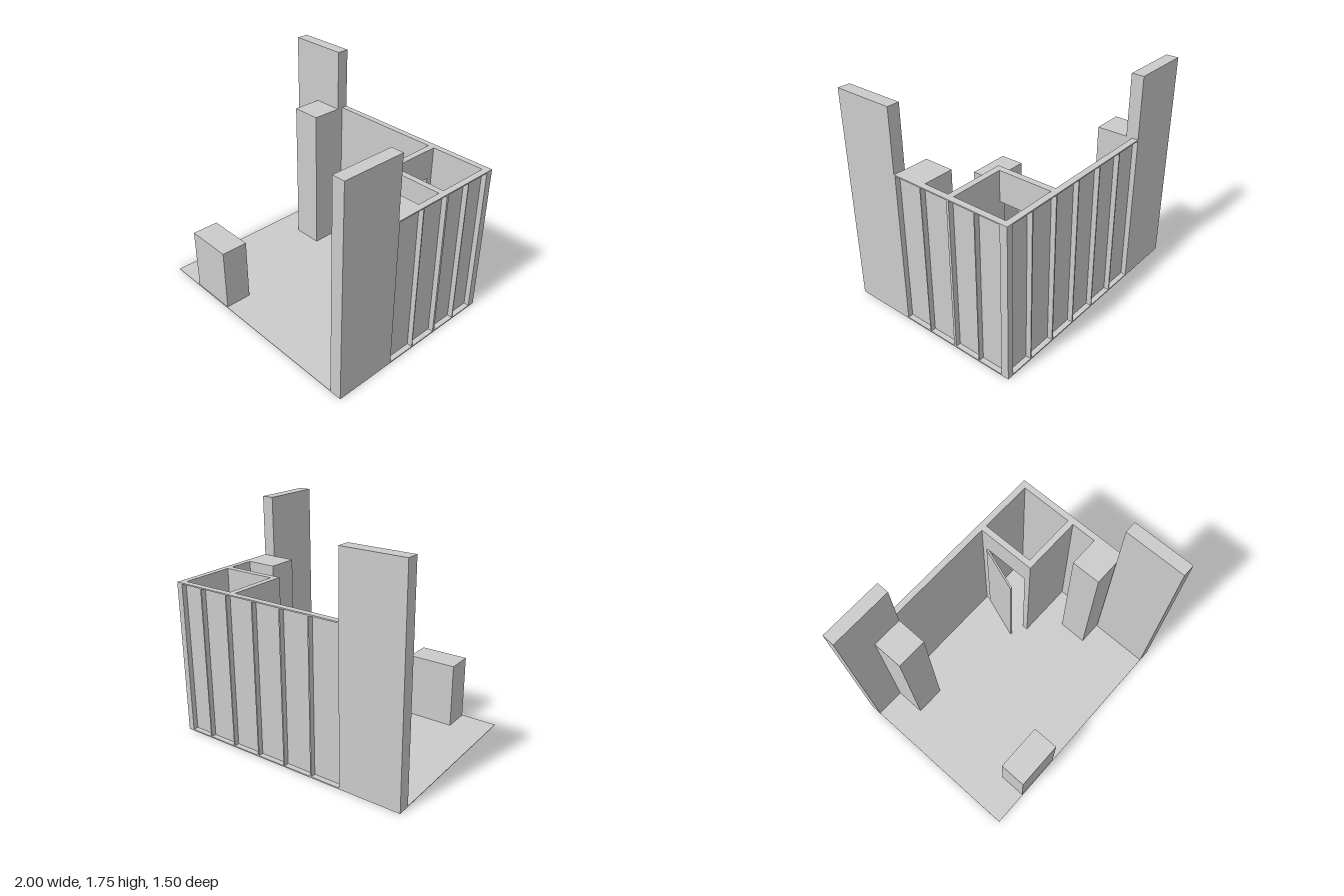
import * as THREE from 'three';

const material = new THREE.MeshStandardMaterial({ color: 0xcccccc });

// Box given by its limits on each axis
function block(name, [x0, x1], [y0, y1], [z0, z1]) {
  const mesh = new THREE.Mesh(new THREE.BoxGeometry(x1 - x0, y1 - y0, z1 - z0), material);
  mesh.name = name;
  mesh.position.set((x0 + x1) / 2, (y0 + y1) / 2, (z0 + z1) / 2);
  return mesh;
}

// Wall along x from 0: smooth sheet on the inner side (+z), ribs and rails behind it
function framedWall(name, length, height, ribs) {
  const wall = new THREE.Group();
  const depth = 0.05, sheet = 0.008, rail = 0.01;
  wall.name = name;
  wall.add(block('sheet', [0, length], [0, height], [depth - sheet, depth]));
  wall.add(block('bottomRail', [0, length], [0, rail], [0, depth - sheet]));
  wall.add(block('topRail', [0, length], [height - rail, height], [0, depth - sheet]));
  for (const [center, width] of ribs) {
    wall.add(block('rib', [center - width / 2, center + width / 2],
      [rail, height - rail], [0, depth - sheet]));
  }
  return wall;
}

export function createModel() {
  const stand = new THREE.Group();
  stand.name = 'exhibitionStand';
  const wallTop = 1.25, tall = 1.75;

  stand.add(block('floor', [-1, 1], [0, 0.005], [-0.75, 0.75]));

  // Tall end panels
  stand.add(block('backTallPanel', [-1, -0.5], [0, tall], [-0.75, -0.65]));
  stand.add(block('sideTallPanel', [0.9, 1], [0, tall], [0.25, 0.75]));

  // Back wall: six bays
  const backRibs = [];
  for (let i = 1; i < 6; i++) backRibs.push([i * 0.25, 0.01]);
  backRibs.push([1.495, 0.01]);
  const backWall = framedWall('backWall', 1.5, wallTop, backRibs);
  backWall.position.set(-0.5, 0, -0.75);
  stand.add(backWall);

  // Side wall: four bays, turned so its ribs face +x
  const sideWall = framedWall('sideWall', 1, wallTop,
    [[0.005, 0.01], [0.25, 0.008], [0.5, 0.02], [0.73, 0.008], [0.97, 0.06]]);
  sideWall.rotation.y = -Math.PI / 2;
  sideWall.position.set(1, 0, -0.75);
  // local x runs from the back corner to the front, so the bays are mirrored
  sideWall.children.filter((part) => part.name === 'rib')
    .forEach((rib) => { rib.position.x = 1 - rib.position.x; });
  stand.add(sideWall);

  // Storage room in the back corner, with a doorway
  const room = new THREE.Group();
  room.name = 'storageRoom';
  room.add(block('roomFrontWall', [0.45, 0.95], [0, wallTop], [-0.26, -0.21]));
  room.add(block('doorJamb', [0.45, 0.5], [0, wallTop], [-0.7, -0.65]));
  room.add(block('doorLintel', [0.45, 0.5], [1, wallTop], [-0.65, -0.26]));
  stand.add(room);

  // Door leaf standing open
  const hinge = new THREE.Group();
  hinge.name = 'door';
  hinge.add(block('doorLeaf', [-0.015, 0], [0.01, 1], [0, 0.39]));
  hinge.position.set(0.455, 0, -0.65);
  hinge.rotation.y = -Math.atan2(0.13, 0.37);
  stand.add(hinge);

  // Display columns and counter
  stand.add(block('backColumn', [-0.75, -0.5], [0, wallTop], [-0.65, -0.4]));
  stand.add(block('sideColumn', [0.7, 0.95], [0, wallTop], [0, 0.245]));
  stand.add(block('counter', [-0.705, -0.31], [0, 0.53], [0.525, 0.745]));

  return stand;
}
